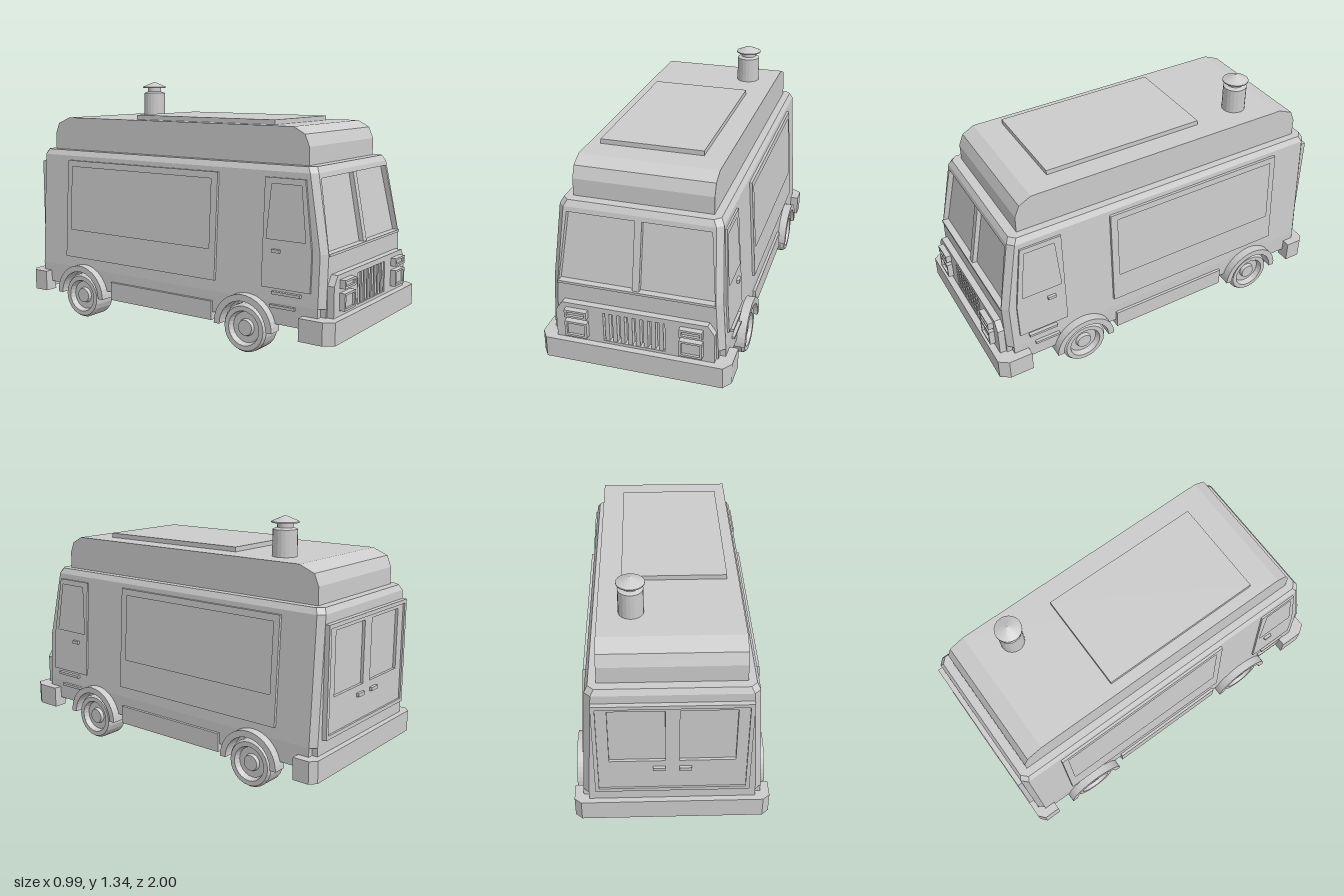
import * as THREE from 'three';

const grey = new THREE.MeshStandardMaterial({ color: 0xcccccc, flatShading: true });

// Half width of the leaning side wall, and z of the raked windscreen wall
const sideX = y => 0.45 - 0.06 * Math.max(0, y - 0.28);
const frontZ = y => 0.93 - 0.19 * Math.max(0, y - 0.54);

const toShape = (pts, holes = []) => {
  const s = new THREE.Shape(pts.map(p => new THREE.Vector2(...p)));
  s.holes = holes.map(h => new THREE.Path(h.map(p => new THREE.Vector2(...p))));
  return s;
};
const rect = (a, b, c, d) => [[a, c], [b, c], [b, d], [a, d]];
const extrude = (shape, depth, curveSegments = 10) =>
  new THREE.ExtrudeGeometry(shape, { depth, bevelEnabled: false, curveSegments });
const box = (x0, x1, y0, y1, z0, z1) =>
  new THREE.BoxGeometry(x1 - x0, y1 - y0, z1 - z0).translate((x0 + x1) / 2, (y0 + y1) / 2, (z0 + z1) / 2);

// Shift each vertex along one axis by a function of its height
function shear(geo, axis, fn) {
  const p = geo.attributes.position;
  for (let i = 0; i < p.count; i++) {
    p.setComponent(i, axis, p.getComponent(i, axis) + fn(p.getY(i)));
  }
  geo.computeVertexNormals();
  return geo;
}

// Copy reflected in x, with the winding put right
function mirrorX(geo) {
  const g = geo.index ? geo.toNonIndexed() : geo.clone();
  g.scale(-1, 1, 1);
  const p = g.attributes.position;
  for (let i = 0; i < p.count; i += 3) {
    const a = new THREE.Vector3().fromBufferAttribute(p, i + 1);
    const b = new THREE.Vector3().fromBufferAttribute(p, i + 2);
    p.setXYZ(i + 1, b.x, b.y, b.z);
    p.setXYZ(i + 2, a.x, a.y, a.z);
  }
  g.computeVertexNormals();
  return g;
}

// Outline given in (z, y), extruded outwards along x
function sidePlate(pts, holes, depth) {
  const flip = l => l.map(([z, y]) => [-z, y]);
  return extrude(toShape(flip(pts), holes.map(flip)), depth).rotateY(Math.PI / 2);
}

// Body shell: stacked plan outlines with chamfered corners and a windscreen recess
function bodyShell() {
  const c = 0.03;
  const rings = [ // y, half width, front z, back z, glass half width, recess
    [0.28, 0.45, 0.93, -0.97, 0.4, 0],
    [0.54, sideX(0.54), 0.93, -0.97, 0.4, 0],
    [0.54, sideX(0.54), 0.93, -0.97, 0.4, 0.03],
    [0.895, sideX(0.895), frontZ(0.895), -0.97, 0.365, 0.03],
    [0.895, sideX(0.895), frontZ(0.895), -0.97, 0.365, 0],
    [0.92, sideX(0.92), frontZ(0.92), -0.97, 0.365, 0],
    [0.95, 0.395, 0.84, -0.955, 0.35, 0],
  ];
  const pos = [], idx = [], n = 12;
  for (const [y, w, f, b, g, r] of rings) {
    const plan = [[w, f - c], [w - c, f], [g, f], [g, f - r], [-g, f - r], [-g, f], [c - w, f], [-w, f - c],
      [-w, b + c], [c - w, b], [w - c, b], [w, b + c]];
    plan.forEach(([x, z]) => pos.push(x, y, z));
  }
  const last = (rings.length - 1) * n;
  for (let i = 0; i < rings.length - 1; i++) {
    for (let j = 0; j < n; j++) {
      const a = i * n + j, b = i * n + (j + 1) % n;
      idx.push(a, a + n, b + n, a, b + n, b);
    }
  }
  for (let j = 1; j < n - 1; j++) idx.push(0, j, j + 1, last, last + j + 1, last + j);
  const geo = new THREE.BufferGeometry();
  geo.setAttribute('position', new THREE.Float32BufferAttribute(pos, 3));
  geo.setIndex(idx);
  const flat = geo.toNonIndexed();
  flat.computeVertexNormals();
  return flat;
}

// Wrap-around bumper, U-shaped in plan
function bumper(end, knee, tip, inner) {
  const half = [[0.42, inner], [0.42, end], [0.495, end], [0.495, knee], [0.46, tip]];
  const pts = [...half, ...half.slice().reverse().map(([x, z]) => [-x, z])];
  return extrude(toShape(pts.map(([x, z]) => [x, -z])), 0.115).rotateX(-Math.PI / 2).translate(0, 0.12, 0);
}

export function createModel() {
  const model = new THREE.Group();
  const add = (name, geo) => {
    const m = new THREE.Mesh(geo, grey);
    m.name = name;
    model.add(m);
    return m;
  };
  const pair = (name, geo) => {
    add(name + 'Left', geo);
    add(name + 'Right', mirrorX(geo));
  };
  const wheelZ = [0.5, -0.61];

  // Body and floor, with lower side walls cut out for the wheels
  add('body', bodyShell());
  add('floor', box(-0.34, 0.34, 0.17, 0.28, -0.97, 0.93));
  add('lowerNose', box(-0.42, 0.42, 0.17, 0.28, 0.89, 0.93));
  add('lowerTail', box(-0.42, 0.42, 0.17, 0.28, -0.97, -0.93));
  const wall = new THREE.Shape();
  const a = Math.asin(0.045 / 0.15);
  wall.moveTo(-0.9, 0.28);
  wall.lineTo(-0.9, 0.17);
  wheelZ.forEach(z => wall.absarc(-z, 0.125, 0.15, Math.PI - a, a, true));
  wall.lineTo(0.94, 0.17);
  wall.lineTo(0.94, 0.28);
  pair('lowerWall', extrude(wall, 0.11).rotateY(Math.PI / 2).translate(0.34, 0, 0));
  pair('sill', box(0.42, 0.465, 0.13, 0.23, -0.4, 0.29));

  // Wheels and arches
  const tyre = [[0, 0.345], [0.115, 0.345], [0.125, 0.36], [0.125, 0.465], [0.115, 0.48], [0.09, 0.48],
    [0.08, 0.45], [0.045, 0.45], [0.04, 0.468], [0, 0.468]].map(p => new THREE.Vector2(...p));
  wheelZ.forEach((z, i) => {
    const end = i ? 'rear' : 'front';
    pair(end + 'Wheel', new THREE.LatheGeometry(tyre, 24).rotateZ(-Math.PI / 2).translate(0, 0.125, z));
    const arch = new THREE.Shape();
    arch.absarc(-z, 0.13, 0.172, 0, Math.PI, false);
    arch.absarc(-z, 0.13, 0.138, Math.PI, 0, true);
    pair(end + 'Arch', extrude(arch, 0.075).rotateY(Math.PI / 2).translate(0.42, 0, 0));
  });

  // Bumpers
  add('frontBumper', bumper(0.82, 0.95, 1, 0.89));
  add('rearBumper', bumper(-0.88, -0.97, -1, -0.94));

  // Windscreen post
  add('windscreenPost', shear(box(-0.018, 0.018, 0.54, 0.895, -0.035, -0.005), 2, frontZ));
  add('windscreenLedge', box(-0.405, 0.405, 0.53, 0.543, 0.9, 0.936));

  // Front panel, grille and headlights
  const panel = [[-0.41, 0.23], [0.41, 0.23], [0.41, 0.39], [0.375, 0.44], [-0.375, 0.44], [-0.41, 0.39]];
  add('frontPanel', extrude(toShape(panel, [rect(-0.16, 0.16, 0.25, 0.412)]), 0.04).translate(0, 0, 0.925));
  for (let i = 0; i < 8; i++) {
    const x = -0.14 + i * 0.04;
    add('grilleBar', box(x - 0.011, x + 0.011, 0.25, 0.412, 0.925, 0.962));
  }
  for (const [name, y0, y1, out] of [['upperLight', 0.372, 0.415, 0.995], ['lowerLight', 0.263, 0.35, 0.995]]) {
    const rim = toShape(rect(0.238, 0.354, y0, y1), [rect(0.25, 0.342, y0 + 0.011, y1 - 0.011)]);
    pair(name + 'Rim', extrude(rim, out - 0.96).translate(0, 0, 0.96));
    pair(name + 'Lens', box(0.25, 0.342, y0 + 0.011, y1 - 0.011, 0.96, 0.982));
  }

  // Serving hatch on each side, with the window set back in its frame
  const lean = (geo, off) => shear(geo, 0, y => sideX(y) + off);
  pair('servingHatch', lean(sidePlate(rect(-0.745, 0.305, 0.34, 0.895), [rect(-0.71, 0.265, 0.5, 0.86)], 0.022), -0.008));

  // Cab doors, handles and steps
  const door = [[0.585, 0.35], [0.86, 0.35], [0.86, 0.54], [0.81, 0.89], [0.585, 0.89]];
  const doorGlass = [[0.605, 0.59], [0.825, 0.59], [0.79, 0.86], [0.625, 0.86]];
  pair('cabDoor', lean(sidePlate(door, [doorGlass], 0.016), -0.006));
  pair('doorHandle', lean(box(0, 0.025, 0.527, 0.543, 0.645, 0.69), 0));
  pair('upperStep', box(0.43, 0.466, 0.322, 0.336, 0.65, 0.81));
  pair('lowerStep', box(0.43, 0.466, 0.255, 0.269, 0.64, 0.78));

  // Rear doors with two windows
  const back = (geo, z) => geo.rotateY(Math.PI).translate(0, 0, z);
  const rearEdge = rect(-0.385, 0.385, 0.31, 0.875);
  const rearGlass = [rect(-0.31, -0.035, 0.51, 0.835), rect(0.035, 0.31, 0.51, 0.835)];
  add('rearDoors', back(extrude(toShape(rearEdge, rearGlass), 0.02), -0.965));
  add('rearDoorFrame', back(extrude(toShape(rearEdge, [rect(-0.365, 0.365, 0.33, 0.855)]), 0.03), -0.965));
  pair('rearHandle', box(0.035, 0.095, 0.455, 0.473, -1, -0.98));

  // Raised roof with bevelled ends and its hatch
  const roof = [[0.79, 0.94], [0.79, 1.04], [0.765, 1.1], [0.7, 1.135], [-0.8, 1.135], [-0.885, 1.1], [-0.91, 1.04], [-0.91, 0.94]];
  add('raisedRoof', sidePlate(roof, [], 0.71).translate(-0.355, 0, 0));
  add('roofHatch', box(-0.295, 0.24, 1.13, 1.16, -0.335, 0.56));

  // Chimney with a conical cap
  const chimney = [[0, 1.12], [0.063, 1.12], [0.063, 1.27], [0.04, 1.278], [0.04, 1.3], [0.07, 1.302], [0.07, 1.308], [0, 1.338]];
  add('chimney', new THREE.LatheGeometry(chimney.map(p => new THREE.Vector2(...p)), 20).translate(0.19, 0, -0.605));

  return model;
}
